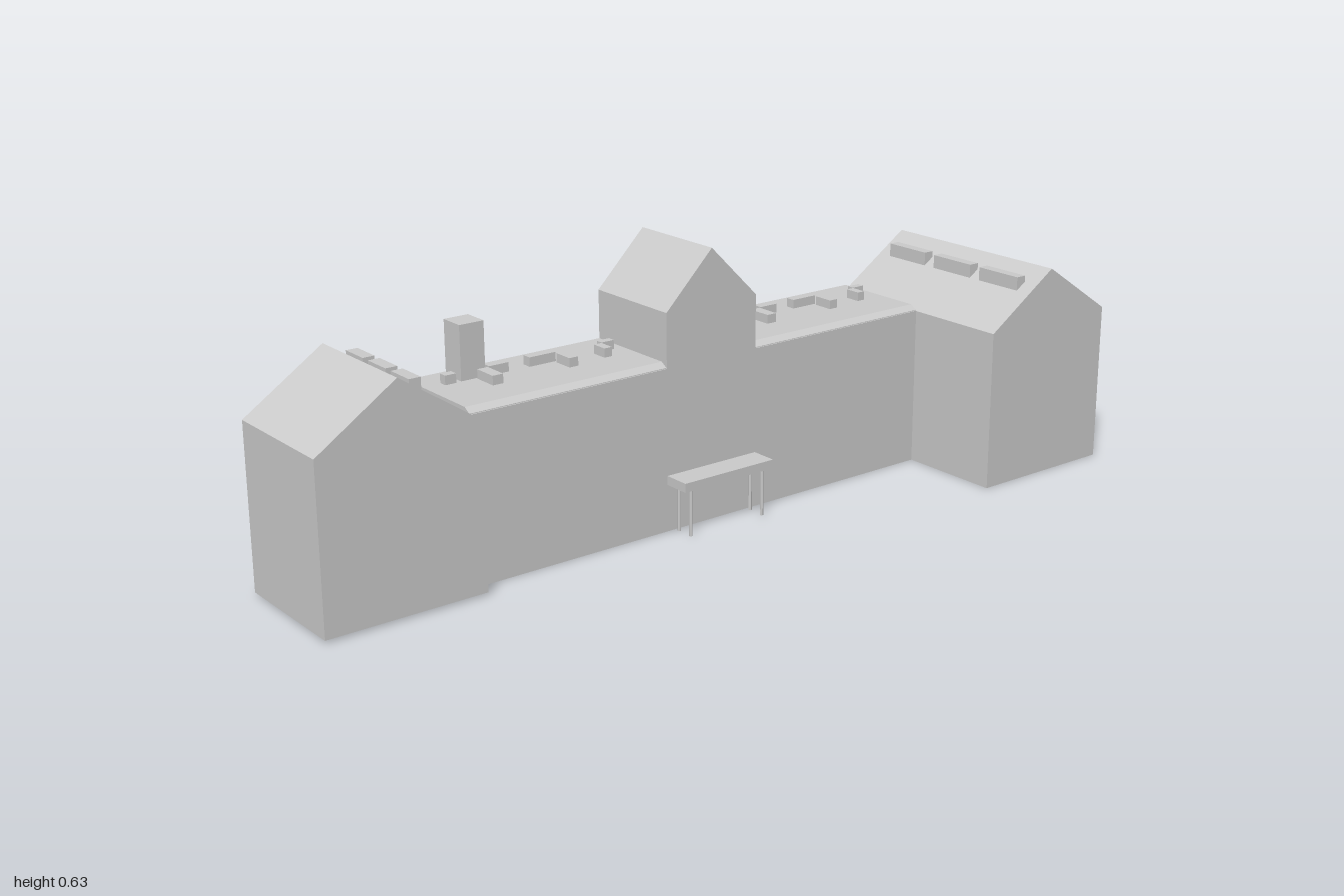
import * as THREE from 'three';

const material = new THREE.MeshStandardMaterial({ color: 0xcccccc, flatShading: true });

function addMesh(parent, name, geometry) {
  const mesh = new THREE.Mesh(geometry, material);
  mesh.name = name;
  parent.add(mesh);
  return mesh;
}

// Box given by its limits on each axis
function addBox(parent, name, x0, x1, y0, y1, z0, z1) {
  const mesh = addMesh(parent, name, new THREE.BoxGeometry(x1 - x0, y1 - y0, z1 - z0));
  mesh.position.set((x0 + x1) / 2, (y0 + y1) / 2, (z0 + z1) / 2);
  return mesh;
}

// Closed outline in x/y, extruded from z0 to z1
function prism(points, z0, z1) {
  const shape = new THREE.Shape(points.map(([x, y]) => new THREE.Vector2(x, y)));
  return new THREE.ExtrudeGeometry(shape, { depth: z1 - z0, bevelEnabled: false }).translate(0, 0, z0);
}

// Block of walls under a gabled roof whose ridge runs along z
function addHouse(parent, name, x0, x1, base, eave, ridge, z0, z1) {
  const house = new THREE.Group();
  house.name = name;
  addBox(house, 'walls', x0, x1, base, eave, z0, z1);
  addMesh(house, 'gableRoof', prism([[x0, eave], [x1, eave], [(x0 + x1) / 2, ridge]], z0, z1));
  parent.add(house);
  return house;
}

export function createModel() {
  const model = new THREE.Group();
  model.name = 'longBuilding';

  // Main block, central tower and the two end wings
  addBox(model, 'mainBlock', -0.625, 0.625, 0, 0.38, -0.247, 0.003);
  addHouse(model, 'centralTower', -0.125, 0.125, 0.37, 0.503, 0.628, -0.247, 0.003);
  const rightWing = addHouse(model, 'rightWing', -1, -0.625, 0.006, 0.38, 0.505, -0.249, 0.05);
  const leftWing = addHouse(model, 'leftWing', 0.625, 1, 0, 0.377, 0.502, -0.247, 0.256);

  // Flat roofs with a sloped front edge and a small rear overhang
  const roofProfile = [[0.004, 0.378], [-0.015, 0.39], [-0.247, 0.39], [-0.256, 0.379]];
  for (const [name, x0, x1] of [['rightFlatRoof', -0.625, -0.125], ['leftFlatRoof', 0.125, 0.625]]) {
    const geometry = prism(roofProfile.map(([z, y]) => [-z, y]).reverse(), 0, x1 - x0);
    geometry.rotateY(Math.PI / 2).translate(x0, 0, 0);
    addMesh(model, name, geometry);
  }

  // Low rooftop units, the same arrangement on both roofs: x0, x1, z0, z1
  const units = [
    [-0.58, -0.553, -0.183, -0.163],
    [-0.503, -0.477, -0.16, -0.1],
    [-0.472, -0.423, -0.185, -0.162],
    [-0.37, -0.302, -0.185, -0.162],
    [-0.306, -0.283, -0.153, -0.104],
    [-0.205, -0.185, -0.155, -0.116],
    [-0.183, -0.15, -0.175, -0.157],
  ];
  for (const shift of [0, 0.75]) {
    const group = new THREE.Group();
    group.name = shift ? 'leftRoofUnits' : 'rightRoofUnits';
    for (const [x0, x1, z0, z1] of units) {
      addBox(group, 'roofUnit', x0 + shift, x1 + shift, 0.385, 0.411, z0, z1);
    }
    model.add(group);
  }

  // Chimney on the right roof
  addBox(model, 'chimney', -0.54, -0.48, 0.385, 0.513, -0.226, -0.165);

  // Rows of vents along the inner slopes of the wings
  for (const z of [-0.232, -0.141, -0.05]) {
    addBox(rightWing, 'roofVent', -0.77, -0.743, 0.445, 0.486, z, z + 0.07);
  }
  for (const z of [-0.21, -0.057, 0.095]) {
    addBox(leftWing, 'roofVent', 0.739, 0.765, 0.44, 0.485, z, z + 0.122);
  }

  // Entrance canopy on four slender posts
  const canopy = new THREE.Group();
  canopy.name = 'entranceCanopy';
  addBox(canopy, 'canopySlab', -0.125, 0.125, 0.11, 0.131, 0, 0.067);
  for (const x of [-0.102, 0.102]) {
    for (const z of [0.015, 0.056]) {
      const post = addMesh(canopy, 'canopyPost', new THREE.CylinderGeometry(0.004, 0.004, 0.112, 8));
      post.position.set(x, 0.056, z);
    }
  }
  model.add(canopy);

  return model;
}
